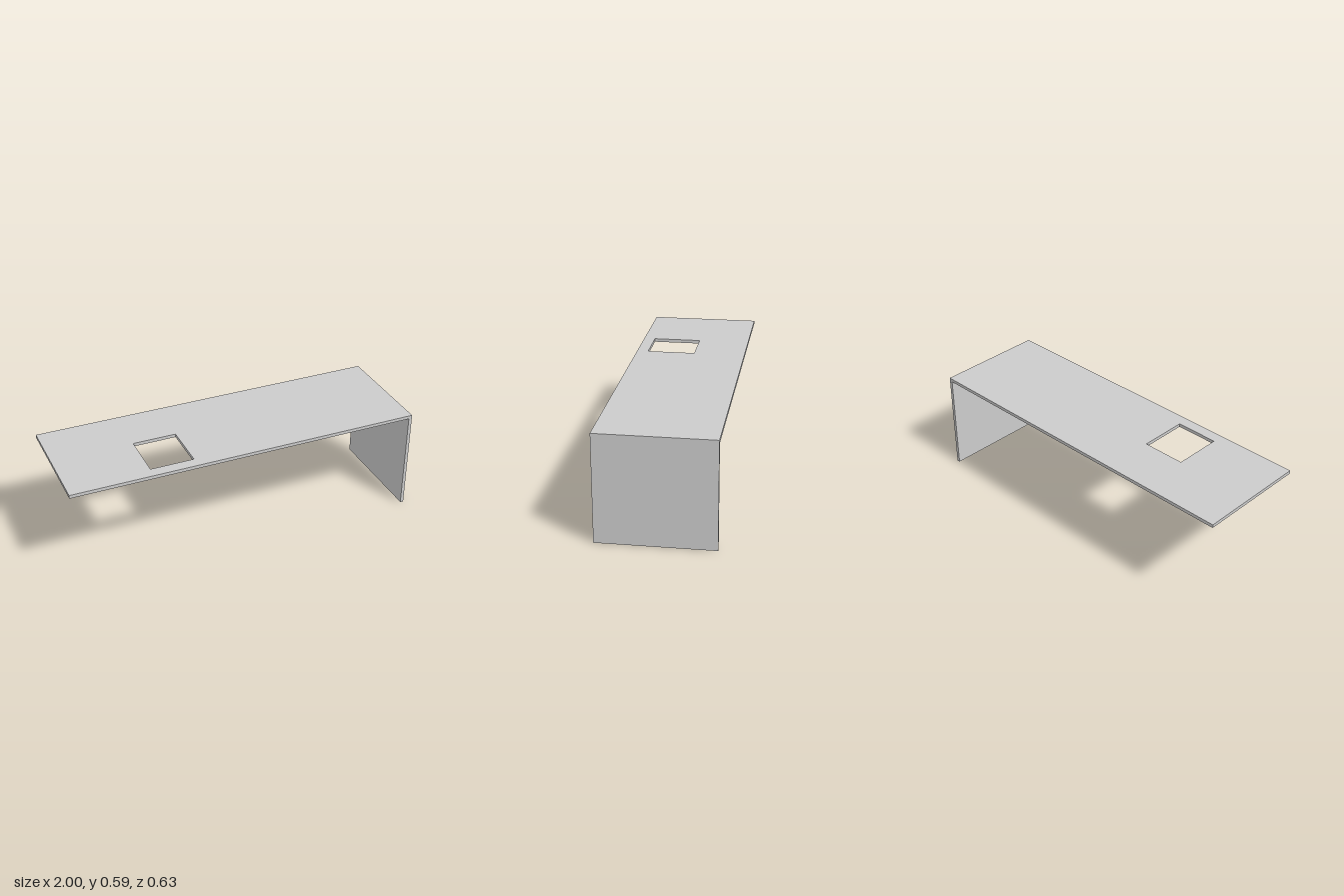
import * as THREE from 'three';

const HEIGHT = 0.592, DEPTH = 0.63, THICK = 0.019;

// Counter-clockwise rectangle given by its corners
function trace(path, x0, y0, x1, y1) {
  path.moveTo(x0, y0);
  path.lineTo(x1, y0);
  path.lineTo(x1, y1);
  path.lineTo(x0, y1);
  path.closePath();
  return path;
}

export function createModel() {
  const group = new THREE.Group();
  group.name = 'countertop';
  const material = new THREE.MeshStandardMaterial({ color: 0xcccccc });

  // Worktop with a rectangular cut-out, drawn in plan (shape y = -z)
  const plan = trace(new THREE.Shape(), -1, -DEPTH / 2, 1, DEPTH / 2);
  plan.holes.push(trace(new THREE.Path(), -0.54, -0.25, -0.295, 0.022));
  const topGeometry = new THREE.ExtrudeGeometry(plan, { depth: THICK, bevelEnabled: false });
  topGeometry.rotateX(-Math.PI / 2);
  const worktop = new THREE.Mesh(topGeometry, material);
  worktop.name = 'worktop';
  worktop.position.y = HEIGHT - THICK;
  group.add(worktop);

  // Upright end panel under the left end
  const panelHeight = HEIGHT - THICK;
  const panel = new THREE.Mesh(new THREE.BoxGeometry(THICK, panelHeight, DEPTH), material);
  panel.name = 'endPanel';
  panel.position.set(1 - THICK / 2, panelHeight / 2, 0);
  group.add(panel);

  return group;
}
